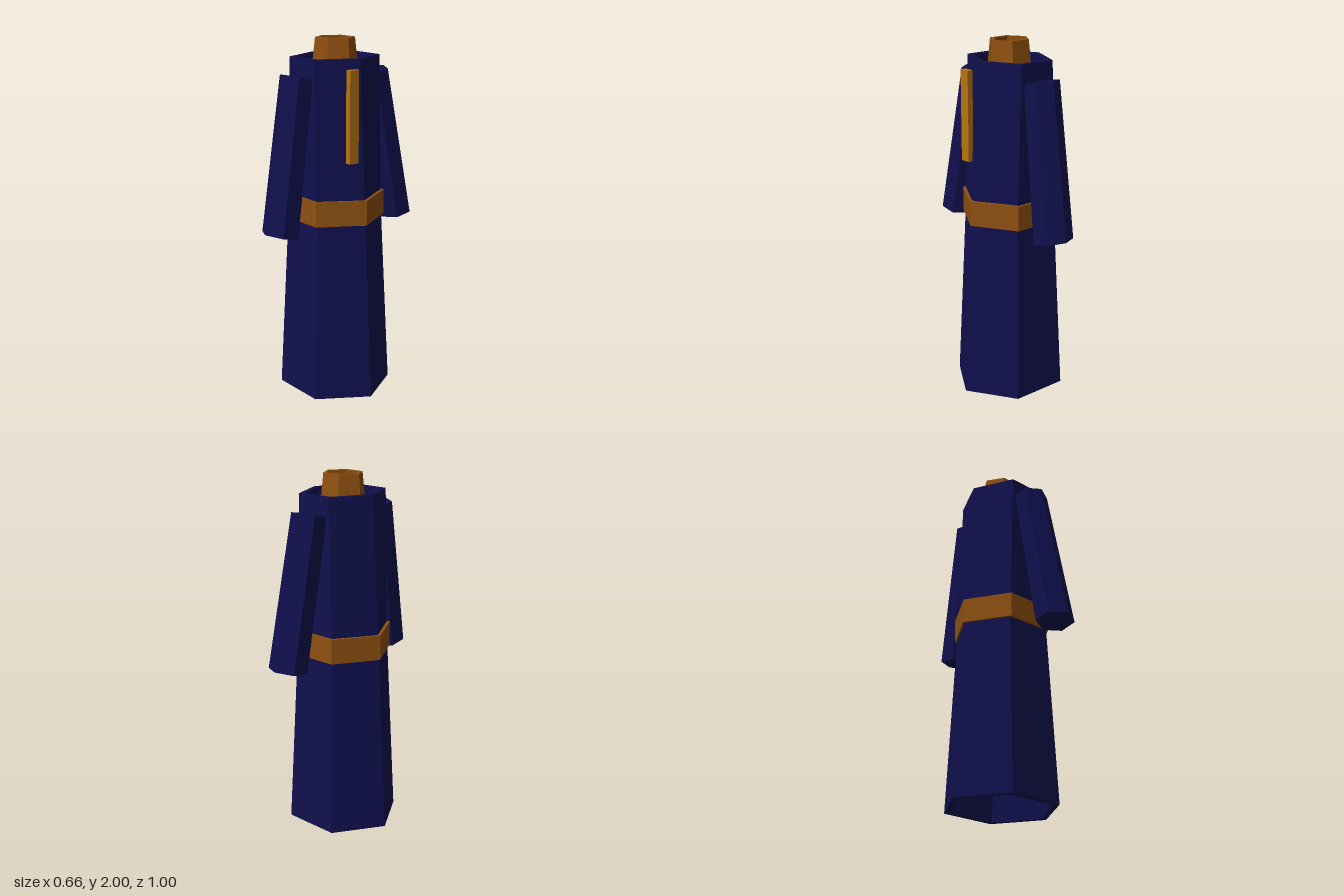
import * as THREE from 'three';

const SIDES = 6;

// Hexagonal ring. phase 0 points corners along x, phase PI/6 along z.
// rx, rz are half extents; slope tilts the ring along z.
function ring({ x = 0, y, z = 0, rx, rz, phase = 0, slope = 0 }) {
  const flat = Math.cos(Math.PI / 6);
  const sx = phase ? flat : 1, sz = phase ? 1 : flat;
  return Array.from({ length: SIDES }, (_, i) => {
    const a = phase + (i * Math.PI * 2) / SIDES;
    const dx = (Math.cos(a) * rx) / sx, dz = (Math.sin(a) * rz) / sz;
    return [x + dx, y + slope * dz, z + dz];
  });
}

// Skins consecutive rings with hard-edged faces.
function loft(sections) {
  const rings = sections.map(ring), pos = [];
  for (let r = 0; r < rings.length - 1; r++) {
    for (let i = 0; i < SIDES; i++) {
      const j = (i + 1) % SIDES, lo = rings[r], up = rings[r + 1];
      // Skip the collapsed half of a face where a ring closes to a point
      if (sections[r + 1].rx > 0) pos.push(...lo[i], ...up[i], ...up[j]);
      if (sections[r].rx > 0) pos.push(...lo[i], ...up[j], ...lo[j]);
    }
  }
  const geo = new THREE.BufferGeometry();
  geo.setAttribute('position', new THREE.Float32BufferAttribute(pos, 3));
  geo.computeVertexNormals();
  return geo;
}

// Hollow hexagonal wall: bottom and top are [y, rx, rz].
function shell([y0, x0, z0], [y1, x1, z1], thick) {
  const outer = [{ y: y0, rx: x0, rz: z0 }, { y: y1, rx: x1, rz: z1 }];
  const inner = [
    { y: y1, rx: x1 - thick, rz: z1 - thick },
    { y: y0, rx: x0 - thick, rz: z0 - thick },
  ];
  return loft([...outer, ...inner, outer[0]]);
}

export function createModel() {
  const group = new THREE.Group();
  const navy = new THREE.MeshStandardMaterial({ color: 0x10104e });
  navy.name = 'navyCloth';
  const brown = new THREE.MeshStandardMaterial({ color: 0x8f5010 });
  brown.name = 'brownTrim';
  const gold = new THREE.MeshStandardMaterial({ color: 0xb87410 });
  gold.name = 'goldTrim';

  const add = (name, geometry, material) => {
    const mesh = new THREE.Mesh(geometry, material);
    mesh.name = name;
    group.add(mesh);
    return mesh;
  };

  // Robe body, belt and collar
  add('skirt', shell([0, 0.33, 0.27], [1, 0.27, 0.228], 0.032), navy);
  add('bodice', shell([1, 0.27, 0.226], [1.9, 0.217, 0.226], 0.032), navy);
  add('belt', shell([1, 0.28, 0.241], [1.14, 0.28, 0.241], 0.02), brown);
  add('collar', shell([1.8, 0.132, 0.113], [2, 0.116, 0.092], 0.02), brown);

  // Sleeves hang at front and back, flaring away from the body
  for (const s of [1, -1]) {
    const phase = Math.PI / 6, slope = 0.18 * s;
    const cuff = { x: 0.032, y: 0.962, z: 0.4025 * s, phase, slope };
    const shoulder = { x: 0, y: 1.804, z: 0.262 * s, phase, slope };
    add(s > 0 ? 'frontSleeve' : 'backSleeve', loft([
      { ...cuff, rx: 0, rz: 0 },
      { ...cuff, rx: 0.1, rz: 0.0975 },
      { ...shoulder, rx: 0.087, rz: 0.088 },
      { ...shoulder, rx: 0, rz: 0 },
    ]), navy);
  }

  // Upright trim strip on the left side of the chest
  add('chestStrip', new THREE.BoxGeometry(0.033, 0.5, 0.06), gold).position.set(0.239, 1.6, 0.07);

  return group;
}
